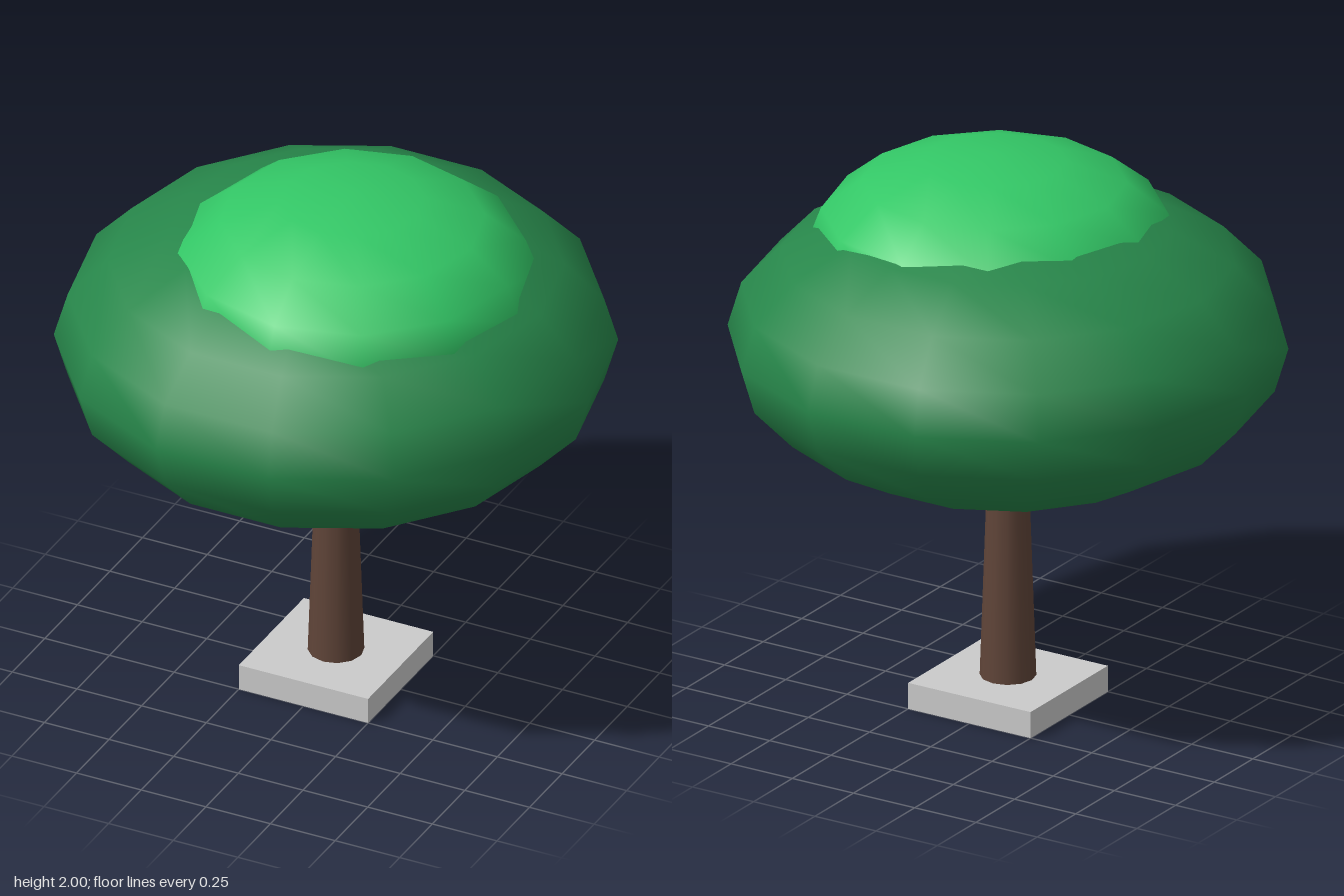
import * as THREE from 'three';

const material = (name, color) => {
  const m = new THREE.MeshStandardMaterial({ color });
  m.name = name;
  return m;
};

export function createModel() {
  const group = new THREE.Group();
  group.name = 'tree';

  const stone = material('light grey stone', 0xcacaca);
  const bark = material('brown bark', 0x5f4438);
  const darkLeaf = material('dark green leaves', 0x27864a);
  const brightLeaf = material('bright green leaves', 0x33c766);

  const add = (name, geometry, mat, x, y, z) => {
    const mesh = new THREE.Mesh(geometry, mat);
    mesh.name = name;
    mesh.position.set(x, y, z);
    group.add(mesh);
  };
  // Flattened smooth ball with few segments
  const blob = (radius, height, sides, rings) =>
    new THREE.SphereGeometry(1, sides, rings).scale(radius, height, radius);

  // Square slab under the trunk
  add('base', new THREE.BoxGeometry(0.5, 0.097, 0.5), stone, 0, 0.0485, 0);

  // Tapered trunk, running up into the canopy
  add('trunk', new THREE.CylinderGeometry(0.069, 0.098, 0.85, 12), bark, 0, 0.522, 0);

  // Wide lower canopy and the smaller off-centre crown
  add('canopy', blob(0.975, 0.52, 14, 10), darkLeaf, 0, 1.357, 0);
  add('crown', blob(0.65, 0.347, 12, 8), brightLeaf, 0.095, 1.653, 0.063);

  return group;
}
